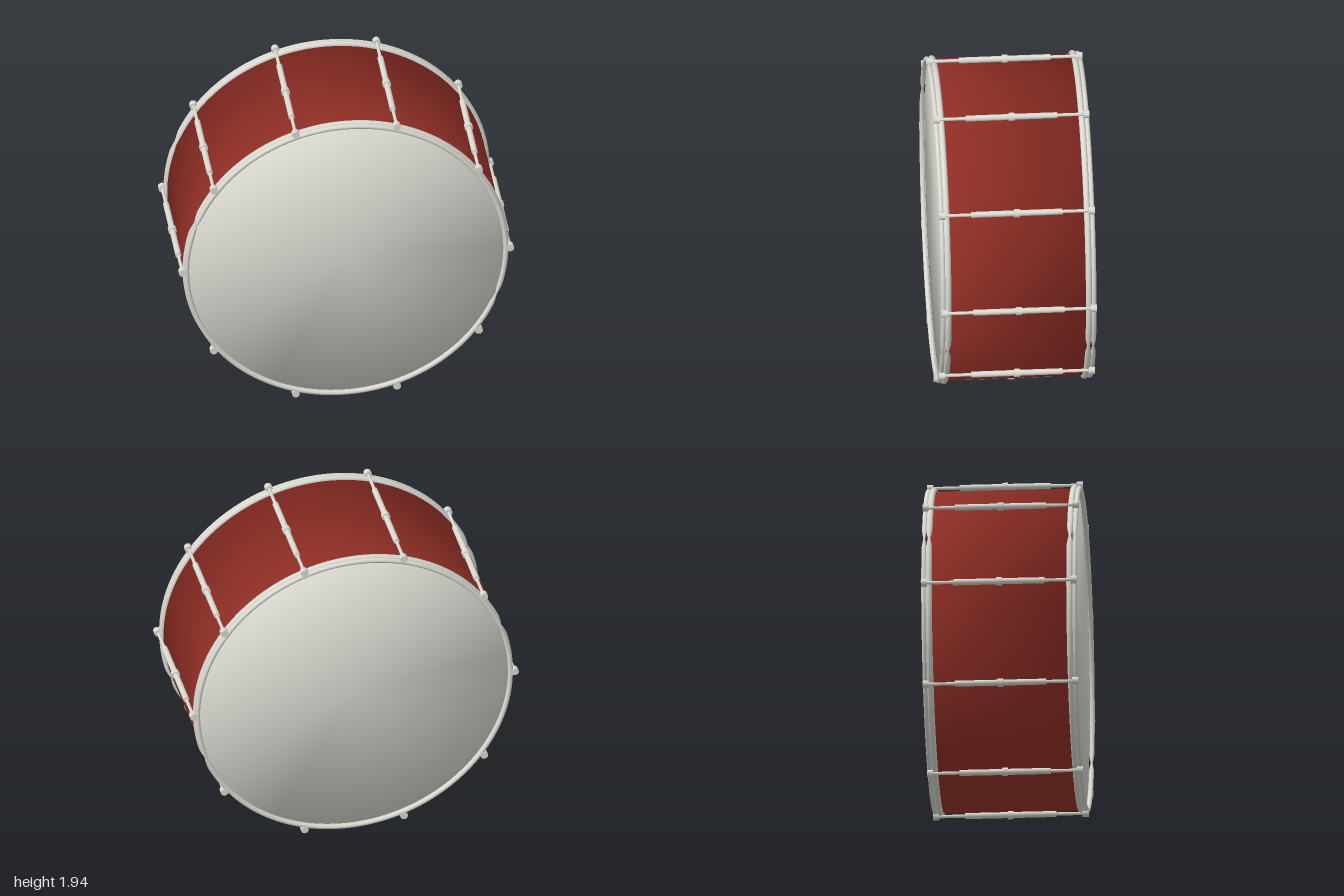
import * as THREE from 'three';

const R = 0.95;        // shell radius
const HEAD_Z = 0.43;   // distance of each drum head from the middle
const LUG_R = 0.975;   // radius of the circle of tension rods
const LUGS = 10;

export function createModel() {
  const red = new THREE.MeshStandardMaterial({ color: 0x932f26 });
  red.name = 'red lacquer';
  const pale = new THREE.MeshStandardMaterial({ color: 0xdadad2 });
  pale.name = 'pale grey';

  const drum = new THREE.Group();
  drum.name = 'bassDrum';
  const add = (parent, name, geometry, material, z = 0) => {
    const mesh = new THREE.Mesh(geometry, material);
    mesh.name = name;
    mesh.position.z = z;
    parent.add(mesh);
    return mesh;
  };

  // Shell and heads share one smooth profile, split into its three strips
  const profile = [[0, -HEAD_Z], [R, -HEAD_Z], [R, HEAD_Z], [0, HEAD_Z]];
  const body = new THREE.LatheGeometry(profile.map(p => new THREE.Vector2(...p)), 96);
  body.rotateX(Math.PI / 2);
  const strip = j => {
    const g = body.clone();
    g.setIndex(Array.from(body.index.array).filter((_, i) => Math.floor(i / 6) % 3 === j));
    return g;
  };
  add(drum, 'backHead', strip(0), pale);
  add(drum, 'shell', strip(1), red);
  add(drum, 'frontHead', strip(2), pale);

  // Round hoop bead, pinched at two opposite joints
  const bead = (radius, tube) => {
    const g = new THREE.TorusGeometry(radius, tube, 12, 180);
    const pos = g.attributes.position;
    for (let i = 0; i < pos.count; i++) {
      const a = Math.atan2(pos.getY(i), pos.getX(i));
      const off = Math.asin(Math.sin(a + Math.PI / 9));
      const k = 1 - 0.6 * Math.exp(-((off / 0.04) ** 2));
      const r = radius + (Math.hypot(pos.getX(i), pos.getY(i)) - radius) * k;
      pos.setXYZ(i, Math.cos(a) * r, Math.sin(a) * r, pos.getZ(i) * k);
    }
    return g;
  };
  const innerBead = bead(0.952, 0.019);
  const outerBead = bead(0.95, 0.015);
  for (const [side, s] of [['front', 1], ['back', -1]]) {
    add(drum, side + 'HoopInnerBead', innerBead, pale, s * 0.416);
    add(drum, side + 'HoopOuterBead', outerBead, pale, s * 0.445);
  }

  // Tension rods: thin rod, thick casing, middle collar and end knobs
  const rodPart = (radius, length, sides = 16) =>
    new THREE.CylinderGeometry(radius, radius, length, sides).rotateX(Math.PI / 2);
  const rod = rodPart(0.01, 0.88, 10);
  const casing = rodPart(0.018, 0.54);
  const collar = rodPart(0.025, 0.034);
  const knob = rodPart(0.023, 0.036);
  for (let i = 0; i < LUGS; i++) {
    const a = (i / LUGS) * Math.PI * 2;
    const lug = new THREE.Group();
    lug.name = 'tensionRod' + (i + 1);
    lug.position.set(Math.cos(a) * LUG_R, Math.sin(a) * LUG_R, 0);
    lug.rotation.z = a;
    add(lug, 'rod', rod, pale);
    add(lug, 'casing', casing, pale);
    add(lug, 'collar', collar, pale);
    add(lug, 'frontKnob', knob, pale, 0.442);
    add(lug, 'backKnob', knob, pale, -0.442);
    drum.add(lug);
  }

  // Stand the drum on its hoops
  drum.position.y = 0.972;
  const model = new THREE.Group();
  model.name = 'drumModel';
  model.add(drum);
  return model;
}
